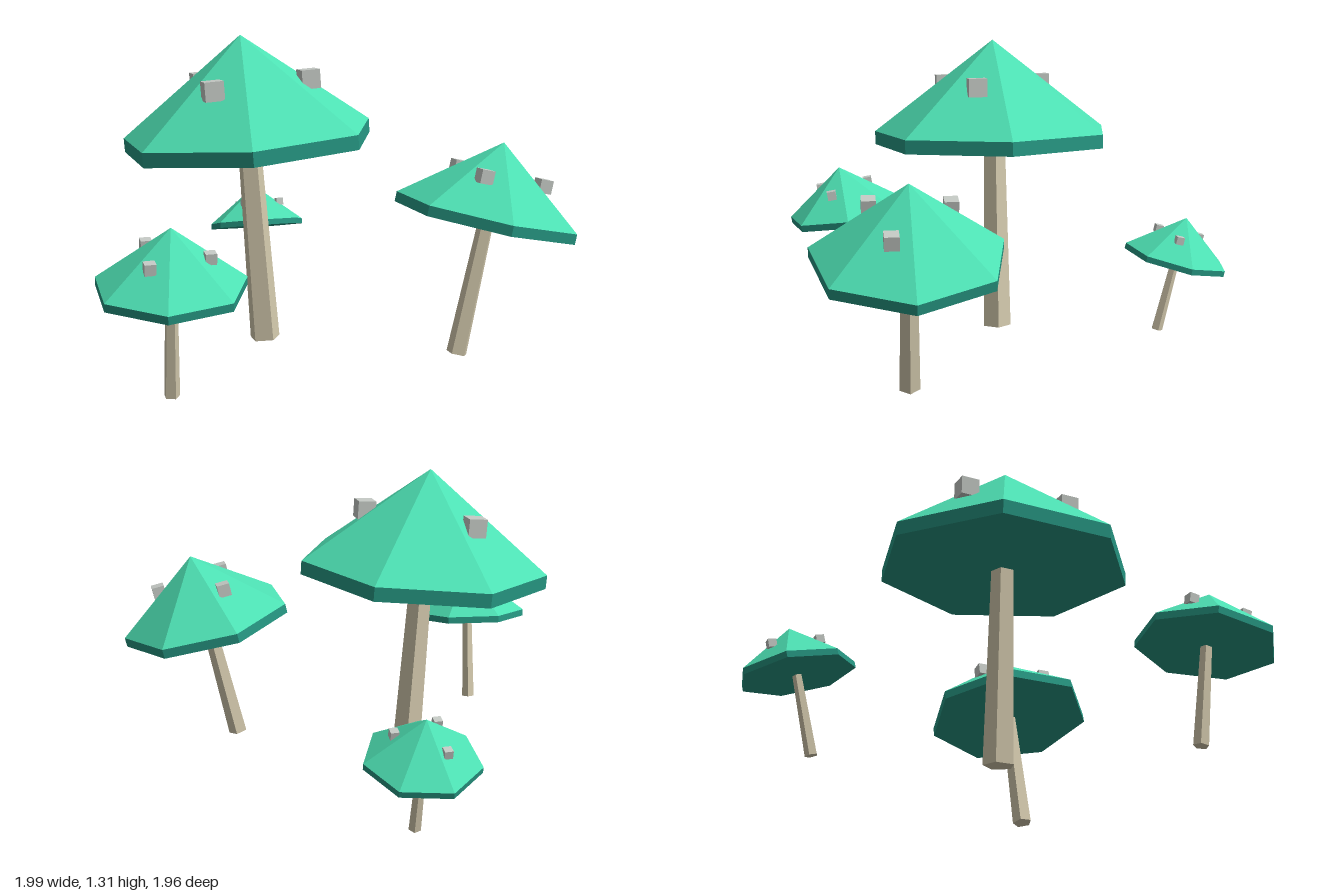
import * as THREE from 'three';

const mat = (name, color) => {
  const m = new THREE.MeshStandardMaterial({ color, flatShading: true });
  m.name = name;
  return m;
};

export function createModel() {
  const capGreen = mat('cap green', 0x4de0b3);
  const rimTeal = mat('rim teal', 0x269682);
  const stemBeige = mat('stem beige', 0xd2c8ac);
  const spotGrey = mat('spot grey', 0xc4c9c4);

  const part = (parent, name, geometry, material, x, y, z) => {
    const mesh = new THREE.Mesh(geometry, material);
    mesh.name = name;
    mesh.position.set(x, y, z);
    parent.add(mesh);
    return mesh;
  };

  // One mushroom: R is the cap radius, stemH the height of the cap's edge
  const mushroom = ({ name, x, z, R, stemH, stemR, tiltX = 0, tiltZ = 0 }) => {
    const g = new THREE.Group();
    g.name = name;
    g.position.set(x, 0.01, z);
    g.rotation.set(tiltX, 0, tiltZ);
    const capH = R * 0.75, rimH = R * 0.11;

    // Five-sided tapered stem, one corner towards +x
    const stem = new THREE.CylinderGeometry(stemR * 0.75, stemR, stemH, 5).rotateY(Math.PI / 2);
    part(g, 'stem', stem, stemBeige, 0, stemH / 2, 0);

    // Seven-sided rim and pointed cap
    const rim = new THREE.CylinderGeometry(R, R, rimH, 7).rotateY(Math.PI / 2);
    part(g, 'rim', rim, rimTeal, 0, stemH - rimH / 2, 0);
    const cap = new THREE.ConeGeometry(R, capH, 7, 1, true).rotateY(Math.PI / 2);
    part(g, 'cap', cap, capGreen, 0, stemH + capH / 2, 0);

    // Three cube spots around the cap
    const s = R * 0.145;
    for (let i = 0; i < 3; i++) {
      const a = 0.4 + i * 1.9;
      part(g, 'spot', new THREE.BoxGeometry(s, s, s), spotGrey,
        Math.cos(a) * R * 0.5, stemH + R * 0.384, Math.sin(a) * R * 0.5);
    }
    return g;
  };

  const model = new THREE.Group();
  model.name = 'mushroomCluster';
  [
    { name: 'largeMushroom', x: -0.213, z: 0.04, R: 0.542, stemH: 0.902, stemR: 0.066, tiltZ: 0.075 },
    { name: 'mediumMushroom', x: 0.488, z: 0.495, R: 0.385, stemH: 0.606, stemR: 0.044, tiltZ: -0.214 },
    { name: 'smallMushroom', x: -0.737, z: 0.635, R: 0.284, stemH: 0.453, stemR: 0.031, tiltX: 0.15, tiltZ: 0.015 },
    { name: 'tinyMushroom', x: -0.03, z: -0.675, R: 0.235, stemH: 0.357, stemR: 0.026, tiltX: -0.235 },
  ].forEach((m) => model.add(mushroom(m)));
  return model;
}
